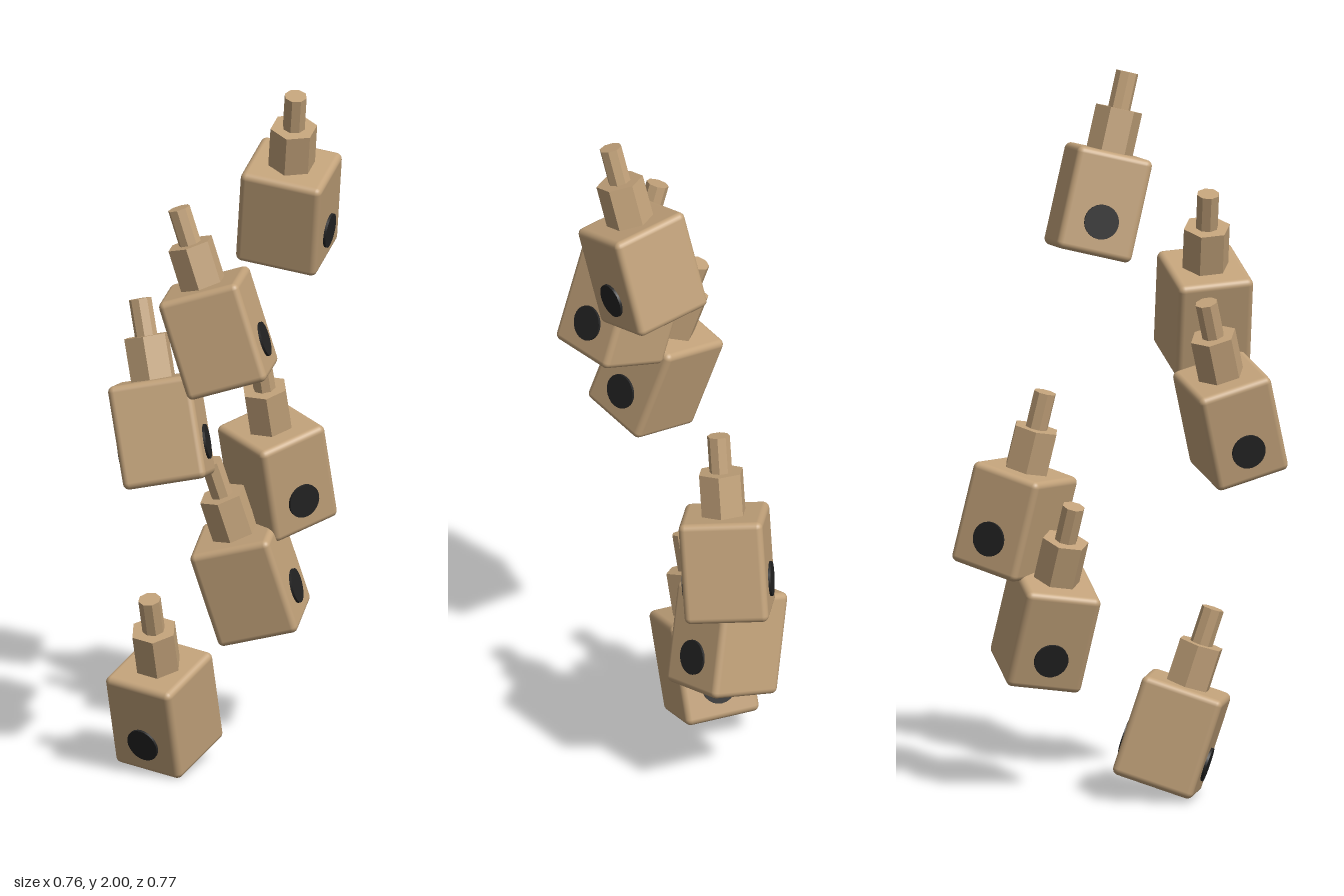
import * as THREE from 'three';
import { RoundedBoxGeometry } from 'three/addons/geometries/RoundedBoxGeometry.js';

const W = 0.237, H = 0.293, D = 0.218;      // block size
const NECK = 0.122, STEM = 0.105;           // lengths of neck and stem

// centre: block centre, up: stem direction, side: direction through the discs
const BLOCKS = [
  { centre: [0.18, 1.635, 0.052], up: [-0.007, 0.355, 0.1], side: [0.85, -0.17, 0.5] },
  { centre: [-0.07, 1.34, 0.225], up: [-0.097, 0.357, -0.066], side: [0.87, 0.32, 0.37] },
  { centre: [-0.225, 1.055, 0.191], up: [-0.031, 0.35, -0.115], side: [0.92, 0.2, 0.33] },
  { centre: [0.219, 0.763, -0.223], up: [-0.066, 0.36, 0.055], side: [0.33, -0.1, 0.94] },
  { centre: [0.13, 0.466, -0.185], up: [-0.116, 0.36, 0.005], side: [0.845, 0.29, 0.45] },
  { centre: [-0.172, 0.178, 0.02], up: [-0.069, 0.362, 0.096], side: [-0.72, -0.32, 0.62] },
];

export function createModel() {
  const tan = new THREE.MeshStandardMaterial({ color: 0xc2a27a });
  tan.name = 'tan';
  const black = new THREE.MeshStandardMaterial({ color: 0x232323 });
  black.name = 'black';

  const bodyGeo = new RoundedBoxGeometry(W, H, D, 3, 0.018);
  // faceted neck and stem
  const neckGeo = new THREE.CylinderGeometry(0.067, 0.067, NECK + 0.01, 6).toNonIndexed();
  const stemGeo = new THREE.CylinderGeometry(0.032, 0.032, STEM + 0.01, 8).toNonIndexed();
  neckGeo.computeVertexNormals();
  stemGeo.computeVertexNormals();
  const discGeo = new THREE.CylinderGeometry(0.049, 0.049, 0.016, 24).rotateZ(Math.PI / 2);

  const model = new THREE.Group();
  model.name = 'blockSpiral';

  for (const { centre, up, side } of BLOCKS) {
    const block = new THREE.Group();
    block.name = 'block';
    const add = (name, geo, mat, x, y) => {
      const mesh = new THREE.Mesh(geo, mat);
      mesh.name = name;
      mesh.position.set(x, y, 0);
      block.add(mesh);
    };
    add('body', bodyGeo, tan, 0, 0);
    add('neck', neckGeo, tan, 0, H / 2 + NECK / 2 - 0.005);
    add('stem', stemGeo, tan, 0, H / 2 + NECK + STEM / 2 - 0.005);
    // low disc on both opposite sides
    for (const s of [-1, 1]) add('sideDisc', discGeo, black, s * (W / 2 - 0.001), -0.05);

    // orientation frame: x through the discs, y along the stem
    const y = new THREE.Vector3(...up).normalize();
    const z = new THREE.Vector3(...side).cross(y).normalize();
    const x = new THREE.Vector3().crossVectors(y, z);
    block.quaternion.setFromRotationMatrix(new THREE.Matrix4().makeBasis(x, y, z));
    block.position.set(...centre);
    model.add(block);
  }
  return model;
}
